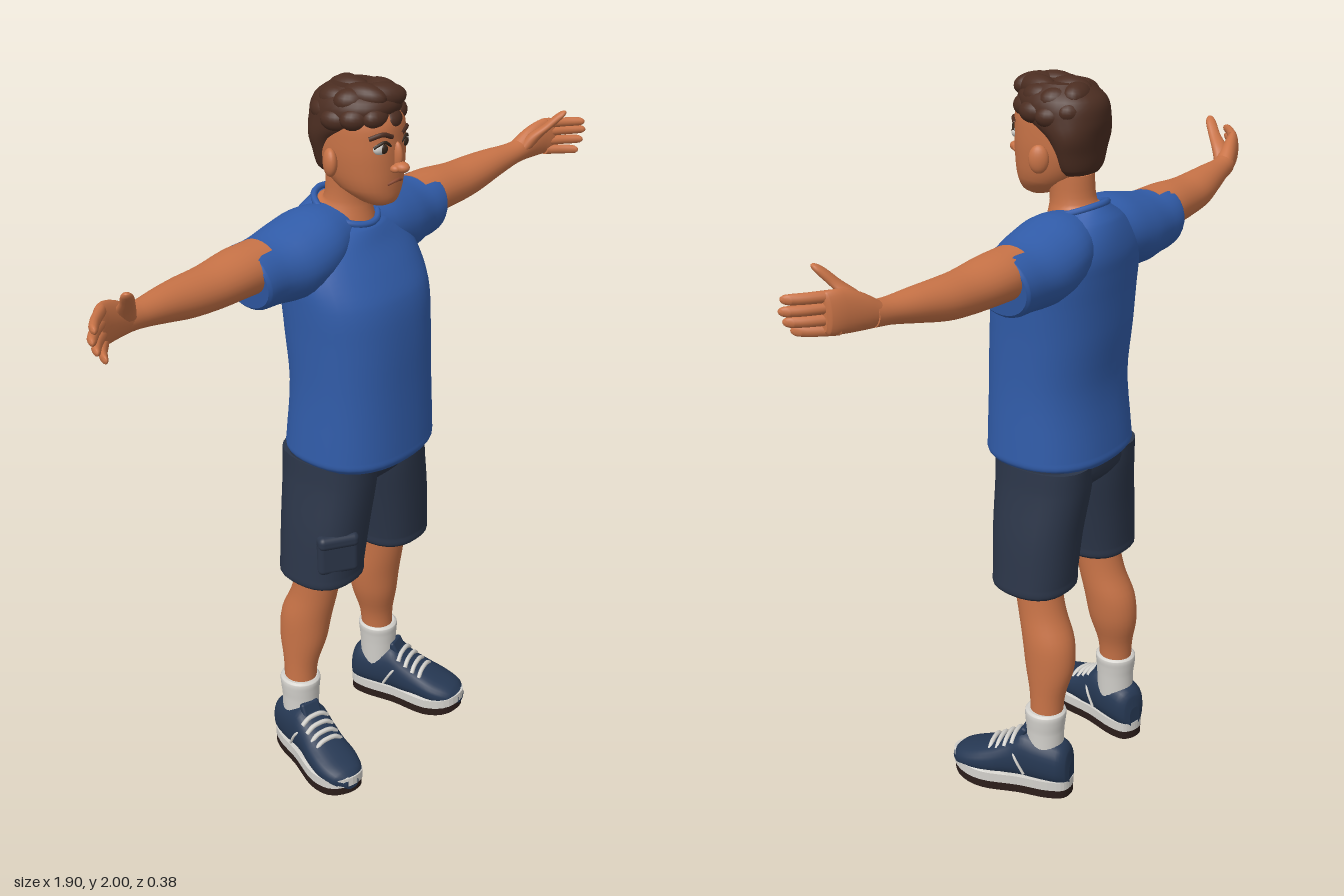
import * as THREE from 'three';
import { RoundedBoxGeometry } from 'three/addons/geometries/RoundedBoxGeometry.js';

const material = (name, color) => Object.assign(new THREE.MeshStandardMaterial({ color }), { name });
const V = (x, y, z) => new THREE.Vector3(x, y, z);

// Smooth skin over cross-sections [t, a, b, ra, rb, power, skew], listed along t.
// The (a, b, t) axes are (z, x, y), (y, z, x) or (x, y, z) for axis y, x or z.
function loft(axis, sections, segs = 28, steps = 4) {
  const S = sections.map(s => [s[0], s[1], s[2], s[3], s[4], s[5] ?? 2, s[6] ?? 0]);
  const slope = (i, k) => {
    const p = S[Math.max(i - 1, 0)], q = S[Math.min(i + 1, S.length - 1)];
    return (q[k] - p[k]) / (q[0] - p[0]);
  };
  const rows = [];
  for (let i = 0; i < S.length - 1; i++) {
    const h = S[i + 1][0] - S[i][0];
    for (let j = 0; j < steps; j++) {
      const u = j / steps, u2 = u * u, u3 = u2 * u;
      rows.push(S[i].map((v, k) => (2 * u3 - 3 * u2 + 1) * v + (u3 - 2 * u2 + u) * h * slope(i, k)
        + (3 * u2 - 2 * u3) * S[i + 1][k] + (u3 - u2) * h * slope(i + 1, k)));
    }
  }
  rows.push(S[S.length - 1]);
  const pos = [], index = [];
  const push = (a, b, t) => pos.push(...(axis === 'y' ? [b, t, a] : axis === 'x' ? [t, a, b] : [a, b, t]));
  const ring = ([t, a, b, ra, rb, n, skew]) => {
    for (let j = 0; j < segs; j++) {
      const w = j / segs * Math.PI * 2, c = Math.cos(w), s = Math.sin(w);
      const r = Math.pow(Math.abs(c) ** n + Math.abs(s) ** n, -1 / n);
      push(a + ra * c * r, b + rb * s * r, t + skew * c);
    }
  };
  rows.forEach(ring);
  for (let i = 0; i < rows.length - 1; i++) for (let j = 0; j < segs; j++) {
    const k = (j + 1) % segs, p = i * segs, q = p + segs;
    index.push(p + j, p + k, q + k, p + j, q + k, q + j);
  }
  // End caps with their own vertices, so rims stay crisp
  for (const [row, flip] of [[rows[0], true], [rows[rows.length - 1], false]]) {
    const base = pos.length / 3;
    ring(row);
    push(row[1], row[2], row[0]);
    for (let j = 0; j < segs; j++) {
      const k = (j + 1) % segs;
      index.push(base + segs, base + (flip ? k : j), base + (flip ? j : k));
    }
  }
  const g = new THREE.BufferGeometry();
  g.setAttribute('position', new THREE.Float32BufferAttribute(pos, 3));
  g.setIndex(index);
  g.computeVertexNormals();
  return g;
}

const blob = (x, y, z, rx, ry, rz, turn = 0) =>
  new THREE.SphereGeometry(1, 20, 14).scale(rx, ry, rz).rotateY(turn).translate(x, y, z);
const tube = (pts, r, closed = false) =>
  new THREE.TubeGeometry(new THREE.CatmullRomCurve3(pts.map(p => V(...p)), closed), closed ? 48 : 14, r, 8, closed);

// Copy of a geometry reflected across x = 0, with its faces turned back outward
function mirrored(geo) {
  const g = geo.clone().scale(-1, 1, 1);
  const ids = g.index ? Array.from(g.index.array) : Array.from({ length: g.attributes.position.count }, (_, i) => i);
  for (let i = 0; i < ids.length; i += 3) [ids[i + 1], ids[i + 2]] = [ids[i + 2], ids[i + 1]];
  g.setIndex(ids);
  return g;
}

export function createModel() {
  const model = new THREE.Group();
  model.name = 'standingMan';
  const skin = material('skin', 0xc87347), shirt = material('shirtBlue', 0x315ca9);
  const cloth = material('shortsNavy', 0x2b3548), hair = material('hairBrown', 0x4b2d21);
  const shoe = material('shoeNavy', 0x263853), white = material('offWhite', 0xd3d1cc);
  const sole = material('soleDark', 0x2b1d1a), iris = material('irisDark', 0x33261c);
  const lip = material('lipBrown', 0x8f4c33);
  const put = (name, geo, mat) => {
    const m = new THREE.Mesh(geo, mat);
    m.name = name;
    model.add(m);
  };
  const pair = (name, geo, mat) => {
    put(name + 'Left', geo, mat);
    put(name + 'Right', mirrored(geo), mat);
  };

  // Shirt
  put('shirtBody', loft('y', [
    [0.995, -0.005, 0, 0.165, 0.192, 2.4], [1.01, -0.005, 0, 0.175, 0.203, 2.4], [1.03, -0.004, 0, 0.174, 0.204, 2.4],
    [1.2, 0, 0, 0.162, 0.198, 2.4], [1.35, -0.01, 0, 0.165, 0.202, 2.4], [1.45, -0.02, 0, 0.16, 0.208, 2.4],
    [1.52, -0.04, 0, 0.145, 0.21, 2.3], [1.58, -0.06, 0, 0.127, 0.195, 2.2],
    [1.635, -0.062, 0, 0.107, 0.135, 2, -0.015], [1.66, -0.052, 0, 0.085, 0.08, 2, -0.03]], 40), shirt);
  pair('sleeve', loft('x', [
    [0.05, 1.6, -0.065, 0.077, 0.09], [0.12, 1.585, -0.067, 0.096, 0.112], [0.2, 1.568, -0.07, 0.098, 0.113],
    [0.28, 1.563, -0.075, 0.087, 0.097], [0.345, 1.563, -0.076, 0.085, 0.09, 2, 0.015],
    [0.355, 1.563, -0.076, 0.077, 0.083, 2, 0.015]]), shirt);
  const collar = Array.from({ length: 16 }, (_, i) => {
    const w = i / 16 * Math.PI * 2, s = Math.sin(w);
    return [0.078 * Math.cos(w), 1.662 - 0.03 * s, -0.05 + 0.083 * s];
  });
  put('collar', tube(collar, 0.009, true), shirt);

  // Neck and head
  put('neck', loft('y', [[1.6, -0.05, 0, 0.085, 0.08], [1.652, -0.05, 0, 0.079, 0.074, 2, -0.028],
    [1.69, -0.045, 0, 0.06, 0.06], [1.76, -0.035, 0, 0.062, 0.06]]), skin);
  put('head', loft('y', [
    [1.694, 0.06, 0, 0.025, 0.025], [1.705, 0.052, 0, 0.052, 0.045], [1.74, 0.024, 0, 0.088, 0.074, 2.2],
    [1.8, 0.001, 0, 0.114, 0.089, 2.3], [1.86, -0.005, 0, 0.12, 0.093, 2.3], [1.92, -0.005, 0, 0.114, 0.088, 2.2],
    [1.965, -0.005, 0, 0.07, 0.06]], 32), skin);
  put('noseBridge', blob(0, 1.826, 0.114, 0.011, 0.036, 0.017), skin);
  put('noseTip', blob(0, 1.8, 0.128, 0.018, 0.014, 0.023), skin);
  pair('nostril', blob(0.014, 1.797, 0.119, 0.011, 0.01, 0.014), skin);
  put('mouth', tube([[-0.028, 1.757, 0.106], [0, 1.764, 0.115], [0.028, 1.757, 0.106]], 0.0045), lip);
  pair('ear', blob(0.103, 1.808, -0.012, 0.017, 0.036, 0.026, 0.5), skin);
  pair('eyeWhite', blob(0.042, 1.851, 0.098, 0.023, 0.016, 0.013, 0.2), white);
  pair('iris', blob(0.041, 1.851, 0.107, 0.011, 0.012, 0.007, 0.2), iris);
  pair('upperLid', tube([[0.019, 1.854, 0.11], [0.041, 1.868, 0.109], [0.065, 1.855, 0.094]], 0.004), iris);
  pair('eyebrow', tube([[0.017, 1.877, 0.113], [0.045, 1.887, 0.106], [0.071, 1.877, 0.084]], 0.006), hair);

  // Hair: a cap with rings of overlapping curls
  put('hairCap', loft('y', [
    [1.765, -0.07, 0, 0.035, 0.06], [1.78, -0.068, 0, 0.046, 0.074], [1.82, -0.066, 0, 0.055, 0.088],
    [1.86, -0.06, 0, 0.068, 0.099, 2.2], [1.9, -0.028, 0, 0.106, 0.102, 2.2], [1.95, -0.01, 0, 0.117, 0.095],
    [1.985, -0.01, 0, 0.07, 0.06]], 32), hair);
  for (const [count, y, rx, rz, size] of [[11, 1.917, 0.079, 0.09, 0.037], [8, 1.95, 0.056, 0.066, 0.042]]) {
    for (let i = 0; i < count; i++) {
      const w = (i + 0.5) / count * Math.PI * 2;
      put('hairCurl', blob(rx * Math.cos(w), y + 0.007 * Math.sin(i * 2.3), -0.008 + rz * Math.sin(w),
        size * 0.85, size * 0.8, size * 1.15, -w + 0.5), hair);
    }
  }
  for (const [x, z, turn] of [[-0.032, 0.035, 0.25], [0.03, 0.04, -0.2], [0, -0.035, 0.1], [0, 0.065, 0.9]])
    put('hairTopCurl', blob(x, 1.965, z, 0.034, 0.033, 0.062, turn), hair);

  // Arms and hands
  pair('arm', loft('x', [
    [0.3, 1.588, -0.075, 0.063, 0.075], [0.38, 1.588, -0.075, 0.061, 0.074], [0.48, 1.585, -0.071, 0.055, 0.065],
    [0.56, 1.589, -0.068, 0.051, 0.058], [0.64, 1.598, -0.06, 0.042, 0.046], [0.72, 1.606, -0.05, 0.032, 0.034],
    [0.77, 1.612, -0.044, 0.032, 0.029]]), skin);
  pair('palm', loft('x', [[0.745, 1.608, -0.047, 0.03, 0.029], [0.79, 1.624, -0.038, 0.044, 0.027],
    [0.84, 1.635, -0.024, 0.052, 0.022], [0.87, 1.636, -0.012, 0.05, 0.017], [0.877, 1.636, -0.008, 0.042, 0.01]]), skin);
  [[1.595, 0.915], [1.621, 0.937], [1.648, 0.948], [1.673, 0.94]].forEach(([y, tip], i) => {
    const at = u => 0.85 + (tip - 0.85) * u;
    pair('finger' + (i + 1), loft('x', [[at(0), y, -0.018, 0.014, 0.015], [at(0.5), y, 0.013, 0.0135, 0.015],
      [at(0.88), y, 0.043, 0.012, 0.015], [at(0.97), y, 0.051, 0.008, 0.009], [at(1), y, 0.053, 0.002, 0.003]], 12), skin);
  });
  pair('thumb', loft('y', [[1.62, -0.03, 0.77, 0.02, 0.022], [1.655, -0.01, 0.79, 0.022, 0.024],
    [1.685, 0.02, 0.81, 0.017, 0.018], [1.712, 0.042, 0.828, 0.015, 0.015], [1.724, 0.05, 0.836, 0.009, 0.009],
    [1.728, 0.052, 0.838, 0.002, 0.002]], 14), skin);

  // Shorts, with a flap pocket on the right leg
  put('shortsSeat', loft('y', [[0.93, -0.022, 0, 0.115, 0.17, 2.4], [0.96, -0.024, 0, 0.135, 0.196, 2.5],
    [1.02, -0.024, 0, 0.14, 0.196, 2.5]]), cloth);
  pair('shortsLeg', loft('y', [
    [0.636, -0.022, 0.143, 0.104, 0.098, 2.4], [0.646, -0.022, 0.143, 0.113, 0.106, 2.4],
    [0.67, -0.022, 0.142, 0.113, 0.106, 2.4], [0.8, -0.021, 0.126, 0.122, 0.107, 2.4],
    [0.93, -0.023, 0.104, 0.134, 0.104, 2.4], [1.0, -0.024, 0.1, 0.138, 0.1, 2.4]]), cloth);
  for (const [name, y, h, d] of [['pocket', 0.742, 0.105, 0.05], ['pocketFlap', 0.79, 0.04, 0.062]])
    put(name, new RoundedBoxGeometry(0.115, h, d, 4, 0.016).rotateY(-0.55).translate(-0.178, y, 0.064), cloth);

  // Lower legs and socks
  pair('lowerLeg', loft('y', [
    [0.22, -0.082, 0.176, 0.047, 0.044], [0.31, -0.083, 0.171, 0.051, 0.047], [0.4, -0.082, 0.158, 0.072, 0.061],
    [0.48, -0.073, 0.152, 0.076, 0.066], [0.56, -0.048, 0.146, 0.068, 0.063], [0.64, -0.032, 0.143, 0.066, 0.064],
    [0.7, -0.028, 0.14, 0.068, 0.066]]), skin);
  pair('sock', loft('y', [[0.12, -0.08, 0.18, 0.054, 0.05], [0.2, -0.08, 0.178, 0.055, 0.052],
    [0.235, -0.081, 0.178, 0.058, 0.055], [0.26, -0.081, 0.177, 0.059, 0.056], [0.266, -0.081, 0.177, 0.052, 0.049]]), white);

  // Shoes, built heel to toe along z and then turned outward
  const place = g => g.rotateY(0.25).translate(0.183, 0, -0.09);
  const outline = new THREE.Shape().setFromPoints(new THREE.CatmullRomCurve3([
    [-0.05, 0.02], [-0.052, -0.08], [-0.066, -0.19], [-0.045, -0.265], [0.005, -0.287], [0.052, -0.26],
    [0.073, -0.18], [0.058, -0.07], [0.052, 0.02], [0.035, 0.064], [0, 0.076], [-0.035, 0.064],
  ].map(([x, y]) => V(x, y, 0)), true).getPoints(48).slice(0, -1).map(p => new THREE.Vector2(p.x, p.y)));
  const slab = (y, h, grow) => {
    const g = new THREE.ExtrudeGeometry(outline, { depth: h, bevelEnabled: false, steps: 1 });
    g.rotateX(-Math.PI / 2).scale(grow, 1, grow).translate(0, y, 0);
    const p = g.attributes.position;
    for (let i = 0; i < p.count; i++) p.setY(i, p.getY(i) + 2 * Math.max(0, p.getZ(i) - 0.18) ** 2);
    g.computeVertexNormals();
    return place(g);
  };
  pair('outsole', slab(0, 0.026, 0.985), sole);
  pair('midsole', slab(0.026, 0.028, 1), white);
  const uppers = [[-0.074, 0.105, 0.02], [-0.066, 0.145, 0.038], [-0.04, 0.165, 0.053], [0.02, 0.178, 0.058],
    [0.065, 0.187, 0.058], [0.1, 0.162, 0.06], [0.15, 0.132, 0.064], [0.21, 0.108, 0.066], [0.26, 0.09, 0.05], [0.284, 0.07, 0.02]];
  pair('shoeUpper', place(loft('z', uppers.map(([z, top, rx]) =>
    [z, z > 0.1 ? 0.004 : 0, (top + 0.035) / 2, rx, (top - 0.035) / 2, 2.5]), 28)), shoe);
  pair('shoeTongue', place(new RoundedBoxGeometry(0.06, 0.05, 0.02, 3, 0.008).rotateX(-0.5).translate(0, 0.178, 0.07)), shoe);
  for (const [z, top] of [[0.092, 0.169], [0.115, 0.154], [0.138, 0.14], [0.161, 0.129]])
    pair('lace', place(tube([[-0.042, top - 0.017, z], [-0.022, top, z], [0.022, top, z], [0.044, top - 0.017, z]], 0.007)), white);
  for (const s of [-1, 1])
    pair('sideStripe', place(tube([[s * 0.043, 0.142, 0.095], [s * 0.06, 0.115, 0.075], [s * 0.06, 0.07, 0.05]], 0.004)), white);
  return model;
}
